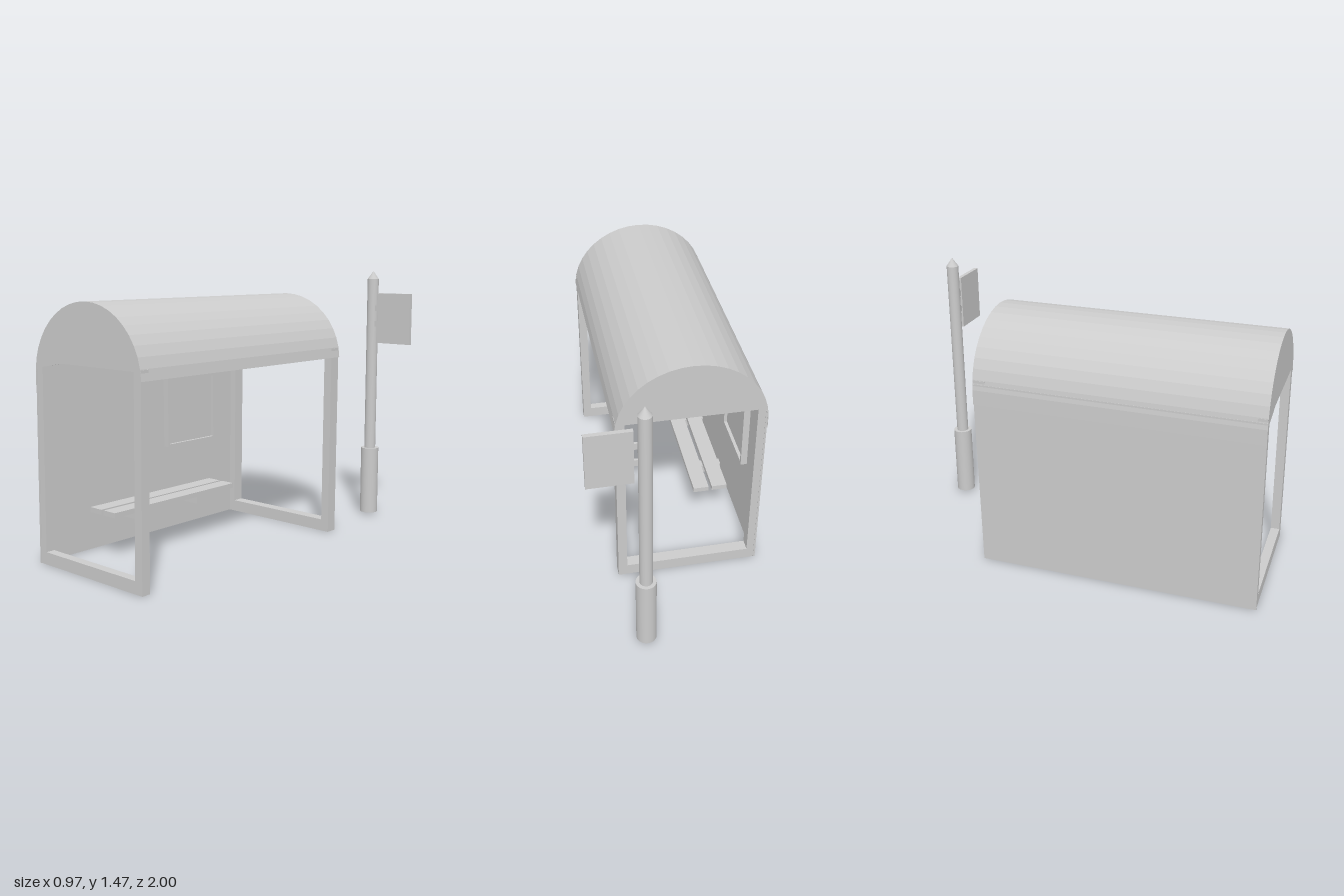
import * as THREE from 'three';

const flat = new THREE.MeshStandardMaterial({ color: 0xcccccc, flatShading: true, side: THREE.DoubleSide });
const smooth = new THREE.MeshStandardMaterial({ color: 0xcccccc });

function add(parent, name, geometry, material = flat) {
  const mesh = new THREE.Mesh(geometry, material);
  mesh.name = name;
  parent.add(mesh);
  return mesh;
}

// Box given by its extents on each axis
function box(x0, x1, y0, y1, z0, z1) {
  return new THREE.BoxGeometry(x1 - x0, y1 - y0, z1 - z0)
    .translate((x0 + x1) / 2, (y0 + y1) / 2, (z0 + z1) / 2);
}

// The shelter leans very slightly backward as it rises
function lean(geometry) {
  const p = geometry.attributes.position;
  for (let i = 0; i < p.count; i++) p.setZ(i, p.getZ(i) - 0.012 * p.getY(i));
  geometry.computeVertexNormals();
  return geometry;
}

// Points over the arch, from its right foot to its left foot
function archPoints(rx, ry, segments = 20) {
  const points = [];
  for (let i = 0; i <= segments; i++) {
    const a = 0.05 + (Math.PI - 0.1) * i / segments;
    points.push(new THREE.Vector2(-0.0975 + rx * Math.cos(a), 0.98 + ry * Math.sin(a)));
  }
  return points;
}

function extrude(points, z0, z1, hole) {
  const shape = new THREE.Shape(points);
  if (hole) shape.holes.push(new THREE.Path(hole));
  return new THREE.ExtrudeGeometry(shape, { depth: z1 - z0, bevelEnabled: false }).translate(0, 0, z0);
}

function createShelter() {
  const shelter = new THREE.Group();
  shelter.name = 'shelter';

  // U-shaped end frames: two posts joined by a ground rail
  const uShape = [[-0.48, 0], [0.285, 0], [0.285, 1.05], [0.237, 1.05], [0.237, 0.065],
    [-0.432, 0.065], [-0.432, 1.05], [-0.48, 1.05]].map(([x, y]) => new THREE.Vector2(x, y));
  add(shelter, 'frontFrame', lean(extrude(uShape, 0.95, 0.998)));
  add(shelter, 'backFrame', lean(extrude(uShape, -0.498, -0.434)));

  // Thin arched end panels; the front one dips toward the wall
  const arch = archPoints(0.386, 0.363);
  const frontEdge = [[-0.48, 1.005], [-0.28, 1.04], [0.285, 1.04]];
  const backEdge = [[-0.48, 1.04], [0.285, 1.04]];
  for (const [name, edge, z] of [['frontPanel', frontEdge, 0.996], ['backPanel', backEdge, -0.5]]) {
    const outline = [...edge.map(([x, y]) => new THREE.Vector2(x, y)),
      ...arch.filter((p) => p.y > 1.04)];
    add(shelter, name, lean(extrude(outline, z, z + 0.004)));
  }

  // Barrel roof with a lip lapping over the side wall
  const outer = [...archPoints(0.388, 0.366), new THREE.Vector2(-0.486, 0.92)];
  const inner = [...archPoints(0.385, 0.362), new THREE.Vector2(-0.483, 0.92)].reverse();
  add(shelter, 'roof', lean(extrude([...outer, ...inner], -0.501, 1)));

  // Thin side wall
  add(shelter, 'sideWall', lean(box(-0.482, -0.472, 0, 1.03, -0.5, 1)));

  // Notice board: raised rim around a recessed sheet
  const board = new THREE.Group();
  board.name = 'noticeBoard';
  shelter.add(board);
  for (const [y0, y1] of [[0.48, 0.495], [0.86, 0.876]]) {
    add(board, 'boardRail', box(-0.473, -0.437, y0, y1, -0.266, 0.122));
  }
  for (const [z0, z1] of [[-0.266, -0.25], [0.107, 0.122]]) {
    add(board, 'boardStile', box(-0.473, -0.437, 0.495, 0.86, z0, z1));
  }
  add(board, 'boardSheet', box(-0.473, -0.455, 0.495, 0.86, -0.25, 0.107));

  // Bench: two slats on two brackets
  const bench = new THREE.Group();
  bench.name = 'bench';
  shelter.add(bench);
  for (const x of [-0.395, -0.29]) add(bench, 'benchSlat', box(x, x + 0.087, 0.23, 0.257, -0.167, 0.735));
  for (const z of [0.055, 0.505]) add(bench, 'benchBracket', box(-0.414, -0.234, 0.18, 0.226, z, z + 0.047));
  return shelter;
}

function createStopSign() {
  const stop = new THREE.Group();
  stop.name = 'stopSign';

  // Post with a thick foot and a pointed cap
  const post = new THREE.Group();
  post.name = 'signPost';
  post.position.set(0.215, 0, -0.948);
  stop.add(post);
  const cylinder = (r, y0, y1) => new THREE.CylinderGeometry(r, r, y1 - y0, 24).translate(0, (y0 + y1) / 2, 0);
  add(post, 'postFoot', cylinder(0.052, 0.012, 0.41), smooth);
  add(post, 'post', cylinder(0.033, 0.41, 1.425), smooth);
  add(post, 'postCap', new THREE.ConeGeometry(0.033, 0.047, 24).translate(0, 1.4485, 0), smooth);

  // Flag board held by two brackets
  add(stop, 'flagBoard', box(0.265, 0.485, 1.05, 1.343, -0.947, -0.925));
  for (const y of [1.145, 1.238]) add(stop, 'flagBracket', box(0.235, 0.266, y, y + 0.033, -0.942, -0.93));
  return stop;
}

export function createModel() {
  const model = new THREE.Group();
  model.name = 'busStop';
  model.add(createShelter(), createStopSign());
  return model;
}
